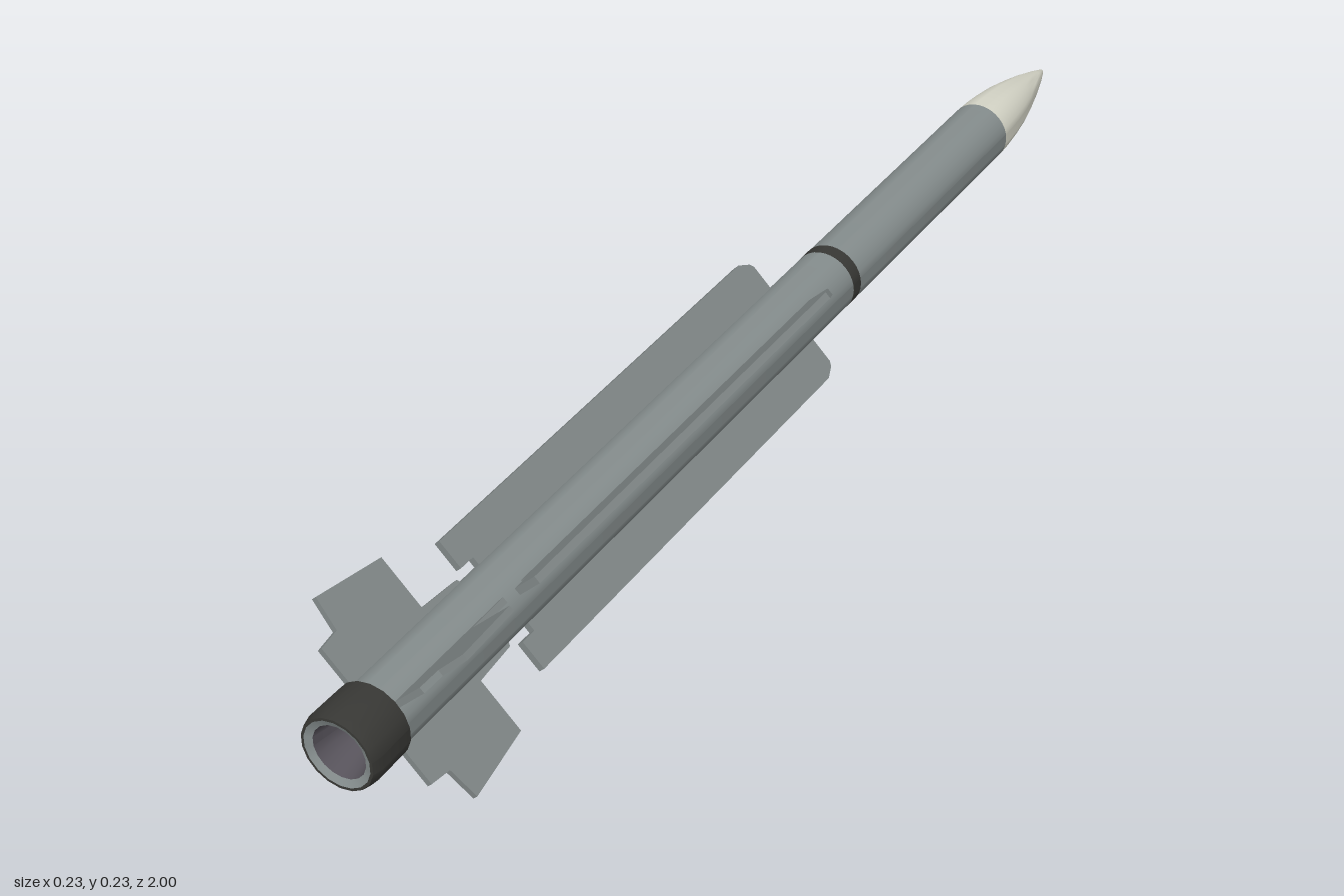
import * as THREE from 'three';
import { toCreasedNormals } from 'three/addons/utils/BufferGeometryUtils.js';

const AXIS_Y = 0.117;
const R = 0.05;

const mat = (color) => new THREE.MeshStandardMaterial({ color });
const grey = mat(0x858d8d);
const finGrey = mat(0x808787);
const dark = mat(0x383835);
const cream = mat(0xd6d6c8);
const nozzleGrey = mat(0x57535b);

// Turned part along z; points are [z, radius]
function turned(name, points, material, sides = 32) {
  const profile = points.map(([z, r]) => new THREE.Vector2(r, z));
  const geo = new THREE.LatheGeometry(profile, sides).rotateX(Math.PI / 2);
  const mesh = new THREE.Mesh(toCreasedNormals(geo, 0.5), material);
  mesh.name = name;
  return mesh;
}

// Flat plate lying in the z / radial plane; points are [z, radial distance]
function plate(name, points, thickness, offset = 0) {
  const shape = new THREE.Shape(points.map(([z, r]) => new THREE.Vector2(r, z)));
  const geo = new THREE.ExtrudeGeometry(shape, { depth: thickness, bevelEnabled: false });
  geo.translate(0, 0, offset - thickness / 2).rotateX(Math.PI / 2);
  const mesh = new THREE.Mesh(geo, finGrey);
  mesh.name = name;
  return mesh;
}

export function createModel() {
  const model = new THREE.Group();
  model.name = 'missile';
  const core = new THREE.Group();
  core.name = 'core';
  core.position.y = AXIS_Y;
  model.add(core);

  // Pointed nose
  const nose = [
    [-1, 0], [-0.995, 0.004], [-0.97, 0.0125], [-0.93, 0.024], [-0.89, 0.0335],
    [-0.85, 0.0415], [-0.81, 0.0465], [-0.78, 0.049], [-0.755, R],
  ];
  core.add(turned('noseCone', nose, cream));

  // Body tube, dark band and tail sleeve
  core.add(turned('forwardBody', [[-0.755, R], [-0.25, R]], grey));
  core.add(turned('darkBand', [[-0.25, R], [-0.25, 0.0505], [-0.228, 0.0505], [-0.228, R]], dark));
  core.add(turned('rearBody', [[-0.228, R], [0.93, R]], grey));
  core.add(turned('tailSleeve', [
    [0.922, R], [0.925, 0.0565], [0.985, 0.0575], [1, 0.054], [1, 0.05],
  ], dark, 18));

  // Exhaust rim and recessed nozzle
  core.add(turned('nozzleRim', [[1, 0.05], [0.995, 0.04]], grey, 18));
  core.add(turned('nozzleBell', [[0.995, 0.04], [0.965, 0.034], [0.925, 0.025], [0.925, 0]], nozzleGrey, 18));

  // Four strakes and four tail fins in an X
  const strakeOutline = [
    [-0.12, 0.045], [-0.12, 0.09], [-0.115, 0.097], [-0.095, 0.107], [0.672, 0.107],
    [0.672, 0.062], [0.645, 0.062], [0.645, 0.045],
  ];
  const finOutline = [
    [0.762, 0.045], [0.762, 0.142], [0.88, 0.16], [0.887, 0.112], [0.922, 0.108], [0.922, 0.045],
  ];
  const rootOutline = [[0.685, 0.045], [0.69, 0.055], [0.75, 0.059], [0.762, 0.06], [0.762, 0.045]];
  for (let i = 0; i < 4; i++) {
    const quarter = new THREE.Group();
    quarter.name = `finSet${i + 1}`;
    quarter.rotation.z = Math.PI / 4 + i * Math.PI / 2;
    const side = i % 2 ? -1 : 1;
    quarter.add(
      plate('strake', strakeOutline, 0.011, side * 0.002),
      plate('tailFin', finOutline, 0.009),
      plate('finRoot', rootOutline, 0.009),
    );
    core.add(quarter);
  }
  return model;
}
